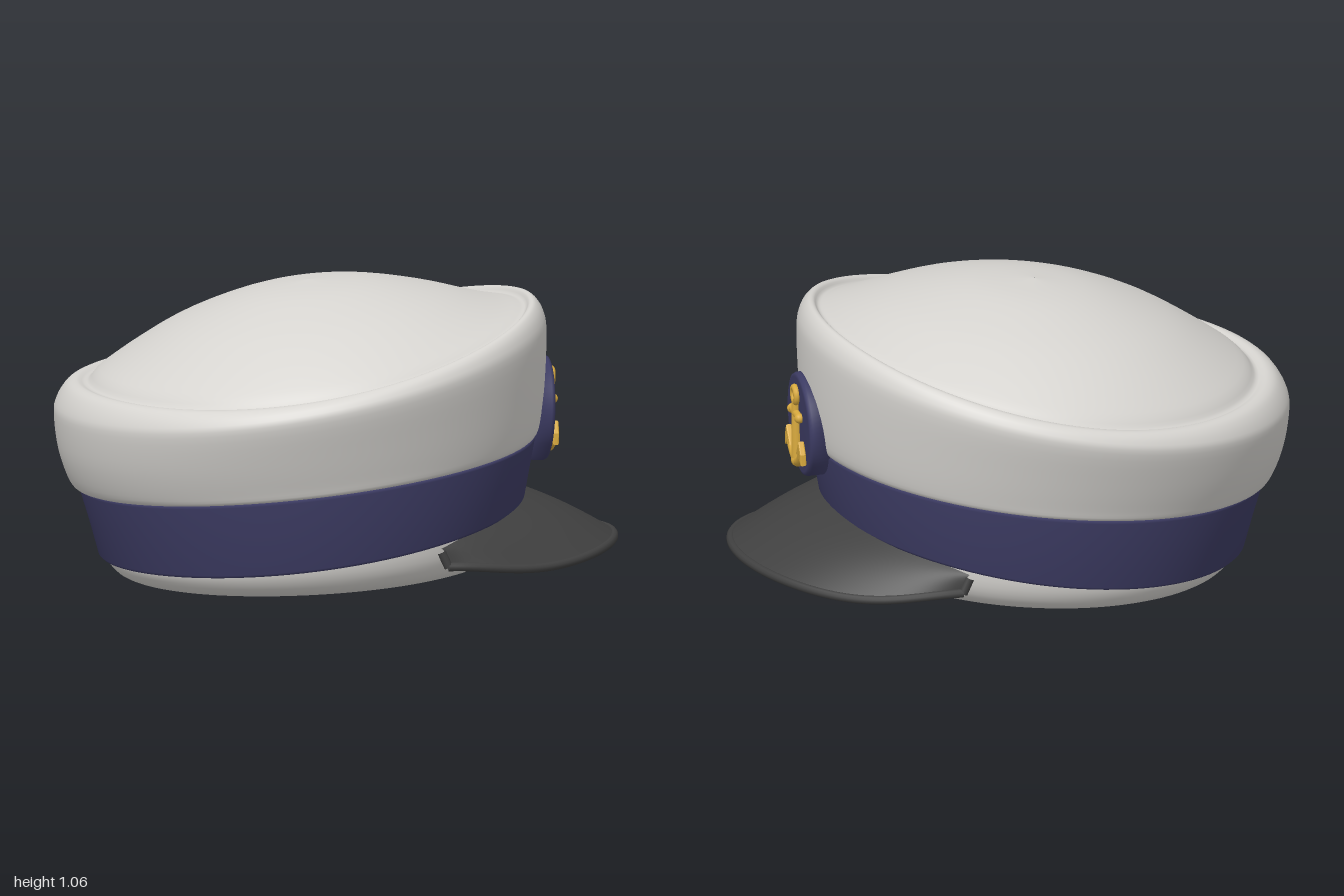
import * as THREE from 'three';

const mat = (name, color, side = THREE.FrontSide) => {
  const m = new THREE.MeshStandardMaterial({ color, side });
  m.name = name;
  return m;
};

// Indexed surface from a grid of points; optionally closed around the columns
function gridGeometry(rows, closed) {
  const n = rows[0].length, index = [];
  for (let i = 0; i < rows.length - 1; i++) {
    for (let j = 0; j < (closed ? n : n - 1); j++) {
      const k = (j + 1) % n, a = i * n, b = a + n;
      index.push(a + j, b + j, a + k, b + j, b + k, a + k);
    }
  }
  const g = new THREE.BufferGeometry();
  g.setAttribute('position', new THREE.Float32BufferAttribute(rows.flat(2), 3));
  g.setIndex(index);
  g.computeVertexNormals();
  return g;
}

// Loft of tilted ellipses: [centreX, radiusX, radiusZ, c, b, q], where y = c + b x + q x²
function ringLoft(rings, sub) {
  const plan = new THREE.CatmullRomCurve3(rings.map(r => new THREE.Vector3(r[0], r[1], r[2])), false, 'catmullrom');
  const lift = new THREE.CatmullRomCurve3(rings.map(r => new THREE.Vector3(r[3], r[4], r[5])), false, 'catmullrom');
  const rows = [], steps = (rings.length - 1) * sub, N = 96;
  for (let i = 0; i <= steps; i++) {
    const p = plan.getPoint(i / steps), l = lift.getPoint(i / steps), row = [];
    for (let j = 0; j < N; j++) {
      const a = j / N * Math.PI * 2, x = p.x + p.y * Math.cos(a);
      row.push([x, l.x + l.y * x + l.z * x * x, p.z * Math.sin(a)]);
    }
    rows.push(row);
  }
  return gridGeometry(rows, true);
}

// Point on the visor: u runs -1..1 around it, v runs 0 (band) .. 1 (outer edge)
function visorPoint(u, v, drop = 0) {
  const a = u * Math.PI / 3, f = u * Math.PI / 2, s = Math.abs(Math.sin(f));
  const inner = new THREE.Vector3(-0.09 + 0.73 * Math.cos(a), 0.31 - 0.12 * u * u, 0.72 * Math.sin(a));
  const outer = new THREE.Vector3(0.30 + 0.685 * Math.cos(f), 0.145 - 0.06 * s * s + 0.05 * s ** 12, 0.625 * Math.sin(f));
  const p = inner.lerp(outer, v);
  p.y += 0.012 * Math.sin(v * Math.PI) - drop;
  return p;
}

export function createModel() {
  const white = mat('white cloth', 0xd6d4d0);
  const navy = mat('navy band', 0x3d3c64);
  const black = mat('black visor', 0x404040, THREE.DoubleSide);
  const gold = mat('gold', 0xd9aa3e);
  const hat = new THREE.Group();
  hat.name = 'sailorCap';
  const add = (parent, name, geo, material) => {
    const m = new THREE.Mesh(geo, material);
    m.name = name;
    parent.add(m);
    return m;
  };

  // Rounded body below the band, closed underneath
  add(hat, 'base', ringLoft([
    [-0.1, 0.001, 0.001, 0.038, 0.05, 0],
    [-0.1, 0.3, 0.3, 0.038, 0.05, 0],
    [-0.1, 0.56, 0.56, 0.039, 0.05, 0],
    [-0.1, 0.66, 0.665, 0.058, 0.05, 0],
    [-0.1, 0.71, 0.715, 0.115, 0.06, 0],
    [-0.1, 0.715, 0.73, 0.2, 0.1, 0],
    [-0.1, 0.71, 0.72, 0.3, 0.12, 0],
  ], 4), white);

  // Flared band with softened edges
  add(hat, 'band', ringLoft([
    [-0.09, 0.69, 0.7, 0.172, 0.145, 0.05],
    [-0.09, 0.742, 0.748, 0.165, 0.145, 0.05],
    [-0.09, 0.752, 0.758, 0.175, 0.145, 0.05],
    [-0.097, 0.778, 0.78, 0.3, 0.128, 0.025],
    [-0.105, 0.805, 0.8, 0.422, 0.112, 0],
    [-0.105, 0.8, 0.795, 0.432, 0.112, 0],
    [-0.105, 0.76, 0.755, 0.434, 0.112, 0],
  ], 1), navy);

  // Flaring crown, rolled rim, seam groove and domed top
  add(hat, 'crown', ringLoft([
    [-0.1, 0.76, 0.755, 0.44, 0.112, 0],
    [-0.11, 0.808, 0.795, 0.433, 0.112, 0],
    [-0.115, 0.835, 0.812, 0.475, 0.12, 0],
    [-0.125, 0.86, 0.848, 0.59, 0.15, 0.02],
    [-0.13, 0.87, 0.885, 0.725, 0.185, 0.04],
    [-0.132, 0.86, 0.876, 0.773, 0.2, 0.06],
    [-0.128, 0.83, 0.85, 0.797, 0.205, 0.095],
    [-0.12, 0.8, 0.82, 0.797, 0.205, 0.115],
    [-0.11, 0.772, 0.792, 0.786, 0.2, 0.115],
    [-0.108, 0.73, 0.75, 0.828, 0.175, 0.09],
    [-0.1, 0.616, 0.635, 0.908, 0.14, 0.04],
    [-0.1, 0.46, 0.475, 0.985, 0.12, 0.01],
    [-0.1, 0.23, 0.235, 1.052, 0.11, 0],
    [-0.1, 0.001, 0.001, 1.074, 0.1, 0],
  ], 4), white);

  // Curved visor: upper and lower skins, joined by a rounded lip
  const skin = (drop, flip) => {
    const rows = [];
    for (let i = 0; i <= 10; i++) {
      const row = [];
      for (let j = 0; j <= 64; j++) {
        row.push(visorPoint((j / 32 - 1) * (flip ? -1 : 1), i / 10, drop).toArray());
      }
      rows.push(row);
    }
    return gridGeometry(rows, false);
  };
  // Columns run toward +z for the underside and -z for the top, so faces point outward
  add(hat, 'visorTop', skin(0, true), black);
  add(hat, 'visorUnderside', skin(0.025, false), black);
  const lip = [];
  for (let j = 0; j <= 40; j++) lip.push(visorPoint(j / 20 - 1, 1, 0.01));
  add(hat, 'visorLip', new THREE.TubeGeometry(new THREE.CatmullRomCurve3(lip), 96, 0.016, 10), black);
  for (const u of [-1, 1]) {
    const end = new THREE.LineCurve3(visorPoint(u, 0, 0.012), visorPoint(u, 1, 0.012));
    add(hat, 'visorEnd', new THREE.TubeGeometry(end, 4, 0.016, 10), black);
  }

  // Round badge, facing +x with a slight lean
  const mount = new THREE.Group();
  mount.name = 'badge';
  mount.position.set(0.755, 0.582, 0);
  mount.rotation.z = -0.04;
  hat.add(mount);
  const badge = new THREE.Group();
  badge.name = 'badgeFace';
  badge.rotation.y = Math.PI / 2;
  mount.add(badge);
  const disc = [[0, 0], [0.17, 0], [0.181, -0.004], [0.186, -0.014], [0.186, -0.085], [0, -0.085]]
    .reverse().map(p => new THREE.Vector2(p[0], p[1]));
  add(badge, 'badgeDisc', new THREE.LatheGeometry(disc, 64), navy).rotation.x = Math.PI / 2;

  // Raised anchor
  const anchor = new THREE.Group();
  anchor.name = 'anchor';
  anchor.position.z = 0.008;
  badge.add(anchor);
  add(anchor, 'anchorRing', new THREE.TorusGeometry(0.027, 0.012, 10, 24), gold).position.y = 0.112;
  const shank = add(anchor, 'anchorShank', new THREE.CylinderGeometry(0.014, 0.022, 0.22, 16), gold);
  shank.position.y = -0.025;
  const stock = add(anchor, 'anchorStock', new THREE.CapsuleGeometry(0.014, 0.1, 6, 14), gold);
  stock.position.y = 0.045;
  stock.rotation.z = Math.PI / 2;
  const arms = new THREE.CatmullRomCurve3(
    [[-0.1, -0.07], [-0.06, -0.112], [0, -0.133], [0.06, -0.112], [0.1, -0.07]]
      .map(p => new THREE.Vector3(p[0], p[1], 0)));
  add(anchor, 'anchorArms', new THREE.TubeGeometry(arms, 32, 0.019, 12), gold);
  const tip = add(anchor, 'anchorCrown', new THREE.SphereGeometry(0.024, 16, 12), gold);
  tip.position.y = -0.132;
  for (const s of [-1, 1]) {
    const ball = add(anchor, 'stockEnd', new THREE.SphereGeometry(0.018, 14, 10), gold);
    ball.position.set(s * 0.058, 0.042, 0);
    const fluke = new THREE.Shape([[0.098, -0.038], [0.055, -0.088], [0.09, -0.09], [0.122, -0.108], [0.12, -0.075]]
      .map(p => new THREE.Vector2(s * p[0], p[1])));
    add(anchor, 'anchorFluke', new THREE.ExtrudeGeometry(fluke, {
      depth: 0.012, bevelSize: 0.005, bevelThickness: 0.005, bevelSegments: 2,
    }), gold);
  }
  return hat;
}
